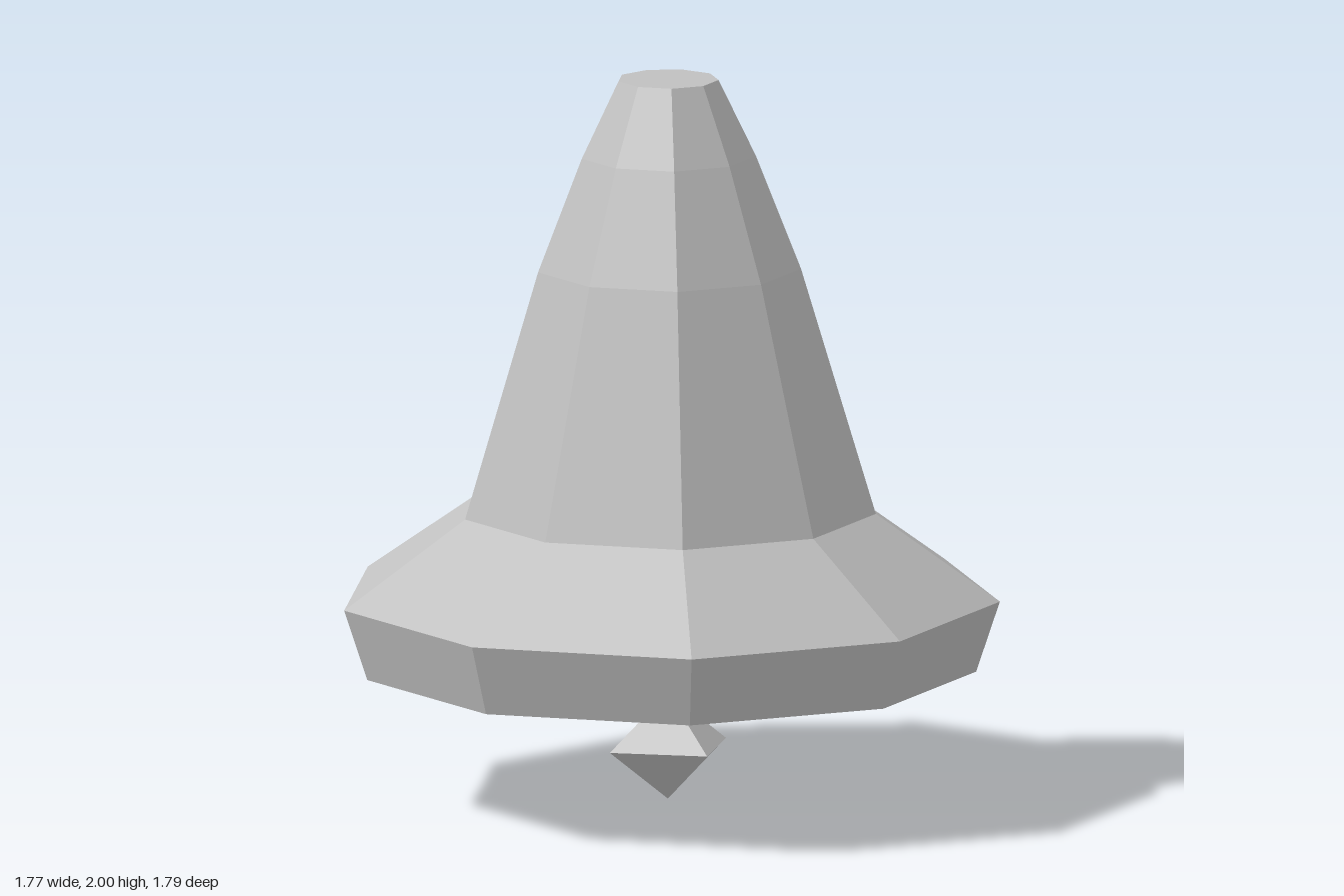
import * as THREE from 'three';

export function createModel() {
  const model = new THREE.Group();
  model.name = 'bell';

  const grey = new THREE.MeshStandardMaterial({ color: 0xc0c0c0, flatShading: true });
  grey.name = 'grey metal';

  // Nine-sided faceted solid turned around y, with one corner towards +x
  const axisX = -0.03;
  function turned(name, profile, sides) {
    const points = profile.map(([r, y]) => new THREE.Vector2(r, y));
    const mesh = new THREE.Mesh(new THREE.LatheGeometry(points, sides, Math.PI / 2), grey);
    mesh.name = name;
    mesh.position.x = axisX;
    model.add(mesh);
  }

  // Bell body: closed underside, flared rim, tapering crown with a flat top
  turned('bellBody', [
    [0, 0.37], [0.845, 0.37], [0.91, 0.566], [0.57, 0.803],
    [0.365, 1.48], [0.242, 1.79], [0.139, 2], [0, 2],
  ], 9);

  // Clapper: small octahedron hanging free below the bell
  turned('clapper', [[0, 0], [0.191, 0.148], [0, 0.296]], 4);

  return model;
}
